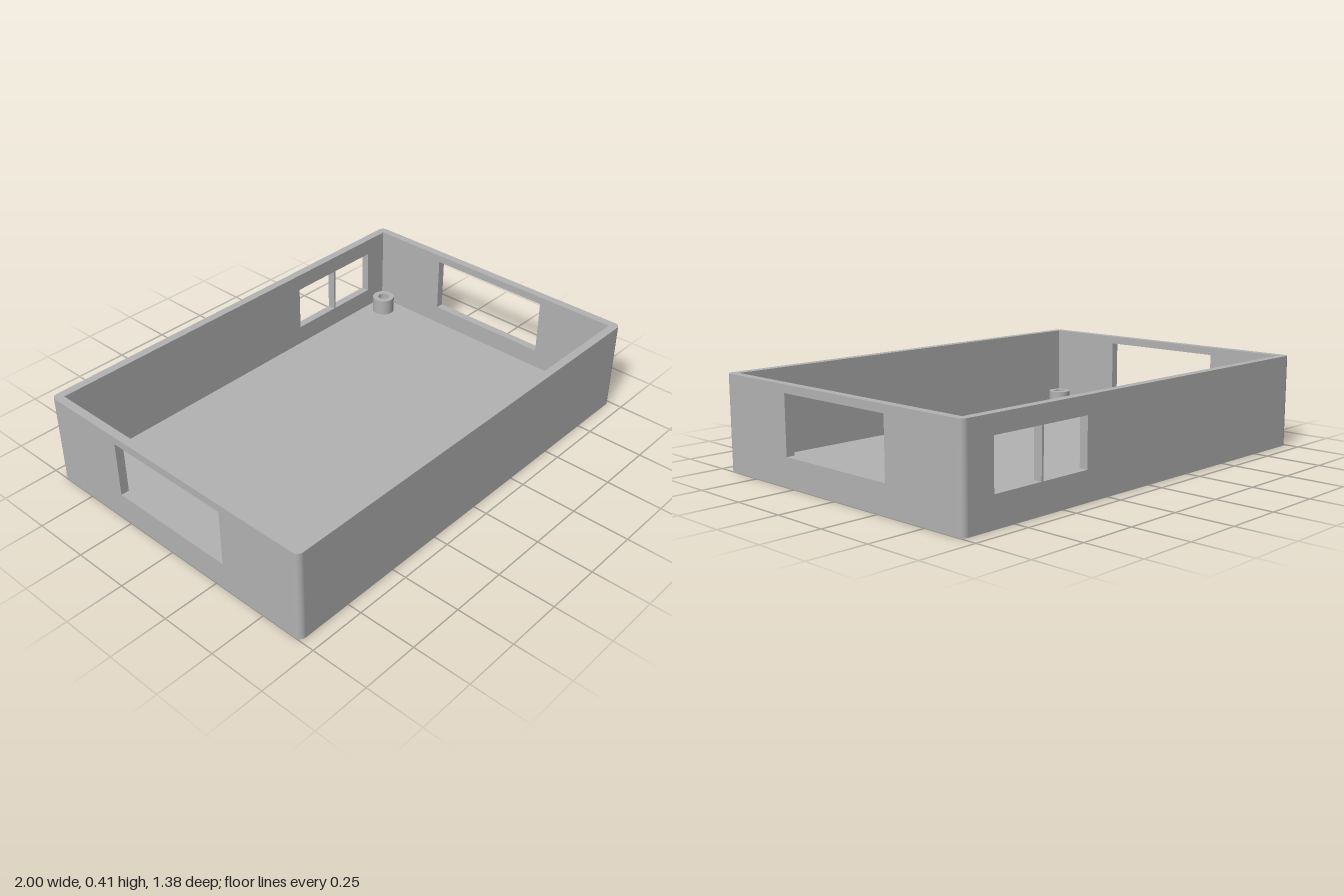
import * as THREE from 'three';

const W = 2, D = 1.376, H = 0.406; // outer size
const T = 0.037;                   // wall and floor thickness
const R = 0.027;                   // outer corner radius

const grey = new THREE.MeshStandardMaterial({ color: 0xb2b2b2 });
grey.name = 'grey plastic';

function add(parent, name, geometry, x = 0, y = 0, z = 0, rx = 0, ry = 0) {
  const mesh = new THREE.Mesh(geometry, grey);
  mesh.name = name;
  mesh.position.set(x, y, z);
  mesh.rotation.set(rx, ry, 0);
  parent.add(mesh);
  return mesh;
}

function rect(Type, x0, y0, x1, y1) {
  return new Type([[x0, y0], [x1, y0], [x1, y1], [x0, y1]].map(p => new THREE.Vector2(...p)));
}

// Footprint with rounded corners
function footprint() {
  const s = new THREE.Shape(), x = W / 2 - R, y = D / 2 - R;
  s.absarc(x, y, R, 0, Math.PI / 2);
  s.absarc(-x, y, R, Math.PI / 2, Math.PI);
  s.absarc(-x, -y, R, Math.PI, Math.PI * 1.5);
  s.absarc(x, -y, R, Math.PI * 1.5, Math.PI * 2);
  s.closePath();
  return s;
}

// One wall facing local +z, with openings [x0, y0, x1, y1] and the corner at its +x end
function wall(name, length, distance, openings) {
  const g = new THREE.Group();
  g.name = name;
  const outer = rect(THREE.Shape, R - length / 2, 0, length / 2 - R, H);
  const inner = rect(THREE.Shape, T - length / 2, T, length / 2 - T, H);
  for (const [x0, y0, x1, y1] of openings) {
    outer.holes.push(rect(THREE.Path, x0, y0, x1, y1));
    inner.holes.push(rect(THREE.Path, -x1, y0, -x0, y1));
    // Reveals through the wall thickness
    const cx = (x0 + x1) / 2, cy = (y0 + y1) / 2, z = distance - T / 2, q = Math.PI / 2;
    const side = new THREE.PlaneGeometry(T, y1 - y0);
    const flat = new THREE.PlaneGeometry(x1 - x0, T);
    add(g, 'openingSide', side, x0, cy, z, 0, q);
    add(g, 'openingSide', side, x1, cy, z, 0, -q);
    add(g, 'openingSill', flat, cx, y0, z, -q);
    add(g, 'openingHead', flat, cx, y1, z, q);
  }
  add(g, 'outerFace', new THREE.ShapeGeometry(outer), 0, 0, distance);
  add(g, 'innerFace', new THREE.ShapeGeometry(inner), 0, 0, distance - T, 0, Math.PI);
  add(g, 'roundedCorner', new THREE.CylinderGeometry(R, R, H, 12, 1, true, 0, Math.PI / 2),
    length / 2 - R, H / 2, distance - R);
  return g;
}

// Hollow screw post standing on the floor
function standoff(x, z) {
  const g = new THREE.Group(), ro = 0.052, ri = 0.025, h = 0.076;
  g.name = 'standoff';
  const p = [[ro, 0], [ro, h], [ri, h], [ri, 0]].map(a => new THREE.Vector2(...a));
  ['postOutside', 'postTop', 'screwHole'].forEach((n, i) =>
    add(g, n, new THREE.LatheGeometry([p[i], p[i + 1]], 40)));
  g.position.set(x, T, z);
  return g;
}

export function createModel() {
  const model = new THREE.Group();
  model.name = 'openEnclosure';

  // Underside, floor and rim
  add(model, 'underside', new THREE.ShapeGeometry(footprint(), 12), 0, 0, 0, Math.PI / 2);
  add(model, 'floor', new THREE.PlaneGeometry(W - 2 * T, D - 2 * T), 0, T, 0, -Math.PI / 2);
  const rim = footprint();
  rim.holes.push(rect(THREE.Path, T - W / 2, T - D / 2, W / 2 - T, D / 2 - T));
  add(model, 'rim', new THREE.ShapeGeometry(rim, 12), 0, H, 0, -Math.PI / 2);

  // Walls: large window in each end, pair of ports in the back
  const window = [[-0.293, 0.122, 0.293, 0.372]];
  const ports = [[-0.852, 0.126, -0.616, 0.33], [-0.606, 0.126, -0.37, 0.33]];
  const walls = [
    wall('frontWall', W, D / 2, []),
    wall('leftWall', D, W / 2, window),
    wall('backWall', W, D / 2, ports),
    wall('rightWall', D, W / 2, window),
  ];
  walls.forEach((w, i) => {
    w.rotation.y = i * Math.PI / 2;
    model.add(w);
  });

  // Screw posts in the four corners
  for (const x of [-0.876, 0.876])
    for (const z of [-0.567, 0.567]) model.add(standoff(x, z));

  return model;
}
